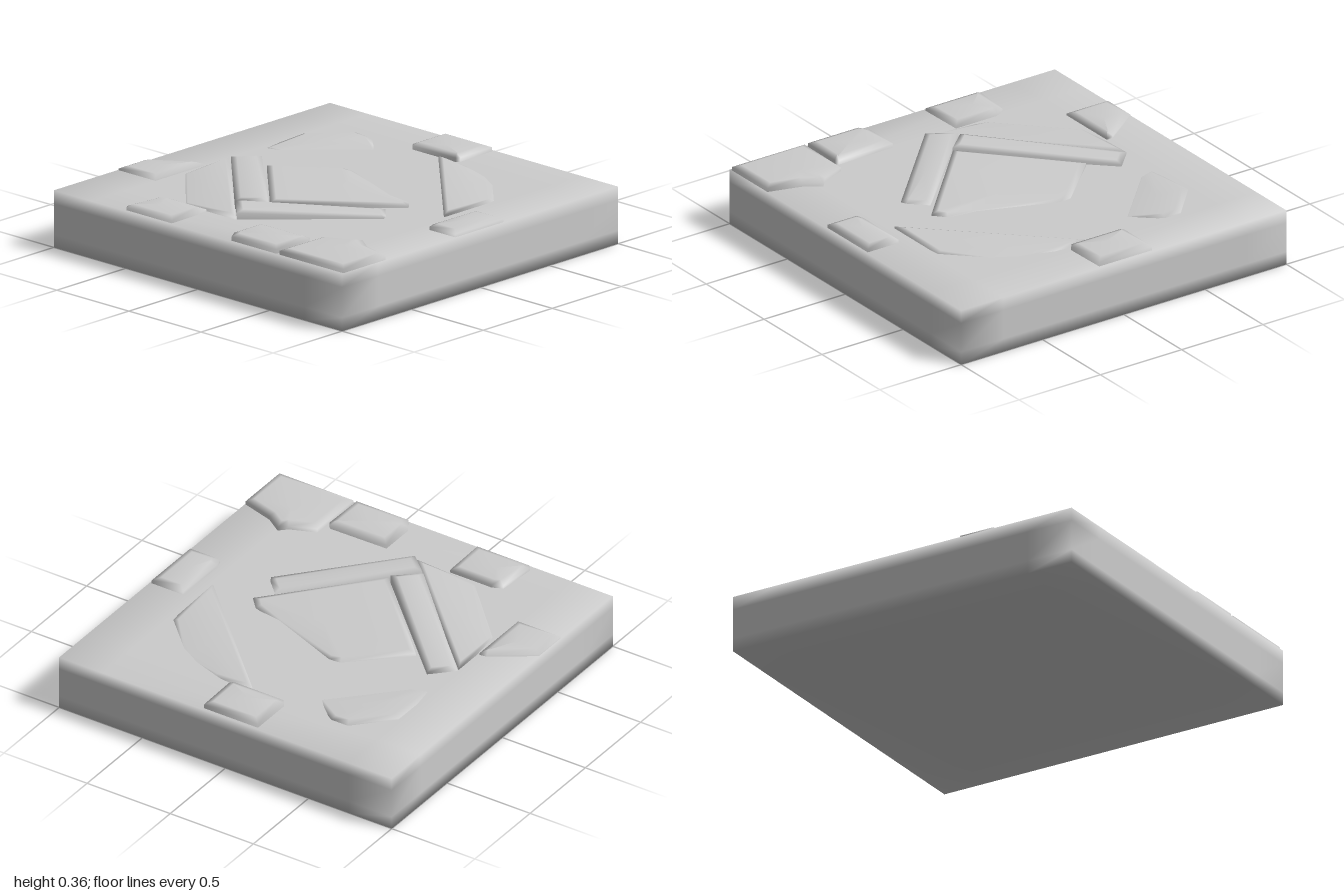
import * as THREE from 'three';
import { mergeVertices } from 'three/addons/utils/BufferGeometryUtils.js';

const stone = new THREE.MeshStandardMaterial({ color: 0xcccccc });
const BASE = 0.3;

// Square base with a band of vertices near each edge, so the shading rolls softly over it
function baseBlock() {
  let geo = new THREE.BoxGeometry(2, BASE, 2, 3, 3, 3);
  const p = geo.attributes.position;
  const push = (v, half, inner) => (Math.abs(v) > half * 0.9 ? v : Math.sign(v) * inner);
  for (let i = 0; i < p.count; i++) {
    p.setXYZ(i, push(p.getX(i), 1, 0.74), push(p.getY(i), BASE / 2, 0.08) + BASE / 2, push(p.getZ(i), 1, 0.74));
  }
  geo.deleteAttribute('normal');
  geo.deleteAttribute('uv');
  geo = mergeVertices(geo);
  geo.computeVertexNormals();
  return geo;
}

// Worn slab from an outline of [x, z, top height]: wall, soft shoulder, inset top
function slab(outline, inset = 0.03, drop = 0.01) {
  const area = outline.reduce((s, a, i) => {
    const b = outline[(i + 1) % outline.length];
    return s + a[0] * b[1] - b[0] * a[1];
  }, 0);
  const pts = area > 0 ? outline : [...outline].reverse();
  const n = pts.length;
  const dir = (a, b) => new THREE.Vector2(b[0] - a[0], b[1] - a[1]).normalize();
  const inner = pts.map((q, i) => {
    const d1 = dir(pts[(i + n - 1) % n], q), d2 = dir(q, pts[(i + 1) % n]);
    const m = new THREE.Vector2(-d1.y - d2.y, d1.x + d2.x).normalize();
    const k = inset / Math.max(0.5, m.dot(new THREE.Vector2(-d1.y, d1.x)));
    return [q[0] + m.x * k, q[1] + m.y * k, q[2]];
  });
  const rings = [
    pts.map(([x, z]) => [x, 0.26, z]),
    pts.map(([x, z, h]) => [x, h - drop, z]),
    inner.map(([x, z, h]) => [x, h, z]),
  ];
  const mid = [0, 0, 0];
  rings[2].forEach((v) => v.forEach((c, j) => (mid[j] += c / n)));
  const index = [];
  for (let i = 0; i < n; i++) {
    const j = (i + 1) % n;
    for (let r = 0; r < 2; r++) {
      const a = r * n + i, b = r * n + j;
      index.push(a, a + n, b, b, a + n, b + n);
    }
    index.push(2 * n + i, 3 * n, 2 * n + j);
  }
  const geo = new THREE.BufferGeometry();
  geo.setAttribute('position', new THREE.Float32BufferAttribute([...rings.flat(), mid].flat(), 3));
  geo.setIndex(index);
  geo.computeVertexNormals();
  return geo;
}

// Level slab: the same top height at every corner
const level = (h, pts) => pts.map(([x, z]) => [x, z, h]);

export function createModel() {
  const group = new THREE.Group();
  const add = (name, geo) => {
    const mesh = new THREE.Mesh(geo, stone);
    mesh.name = name;
    group.add(mesh);
  };

  add('base', baseBlock());

  // Tilted paving in the middle
  add('centreSlab', slab([[-0.48, 0, 0.325], [-0.2, -0.26, 0.312], [-0.13, -0.27, 0.308], [0.28, -0.13, 0.302],
    [0.43, -0.08, 0.312], [0.485, -0.02, 0.318], [0, 0.475, 0.345]]));
  add('leftStrip', slab([[-0.62, -0.11, 0.32], [-0.73, 0, 0.317], [-0.13, 0.595, 0.353], [-0.005, 0.485, 0.353]]));
  add('rightStrip', slab([[-0.12, 0.6, 0.358], [0, 0.715, 0.345], [0.52, 0.195, 0.312], [0.505, 0.165, 0.312], [0.42, 0.08, 0.313]]));

  // Corner pieces of the octagonal ring, sinking into the base on one side
  add('frontLeftPiece', slab([[-0.73, 0.01, 0.316], [-0.73, 0.36, 0.303], [-0.38, 0.72, 0.303], [-0.005, 0.72, 0.322]]));
  add('backRightPiece', slab([[0.02, -0.72, 0.32], [0.72, -0.03, 0.32], [0.72, -0.4, 0.308], [0.5, -0.66, 0.298], [0.26, -0.72, 0.304]]));
  add('backLeftPiece', slab([[-0.73, -0.22, 0.304], [-0.73, -0.53, 0.317], [-0.55, -0.72, 0.317], [-0.45, -0.72, 0.312],
    [-0.27, -0.6, 0.301], [-0.62, -0.24, 0.301]]));

  // Loose stones around the rim
  const rim = {
    backStone: [0.335, [[-0.185, -0.985], [0.14, -0.985], [0.145, -0.75], [0.13, -0.73], [-0.17, -0.73], [-0.185, -0.75]]],
    rightStone: [0.33, [[0.8, -0.18], [0.99, -0.18], [0.99, 0.17], [0.81, 0.17], [0.795, 0.12]]],
    leftStone: [0.323, [[-0.995, 0.34], [-0.78, 0.19], [-0.74, 0.185], [-0.74, 0.535], [-0.995, 0.535]]],
    frontLeftStone: [0.328, [[-0.505, 0.755], [-0.45, 0.73], [-0.2, 0.73], [-0.195, 0.985], [-0.51, 0.985], [-0.525, 0.965]]],
    frontRightStone: [0.336, [[0.185, 0.735], [0.52, 0.73], [0.535, 0.745], [0.53, 0.985], [0.22, 0.985], [0.185, 0.93]]],
    cornerStone: [0.334, [[0.55, 0.985], [0.555, 0.665], [0.69, 0.61], [0.73, 0.57], [0.82, 0.63], [0.995, 0.68], [0.995, 0.985]]],
  };
  for (const [name, [h, pts]] of Object.entries(rim)) add(name, slab(level(h, pts), 0.035, 0.014));

  return group;
}
